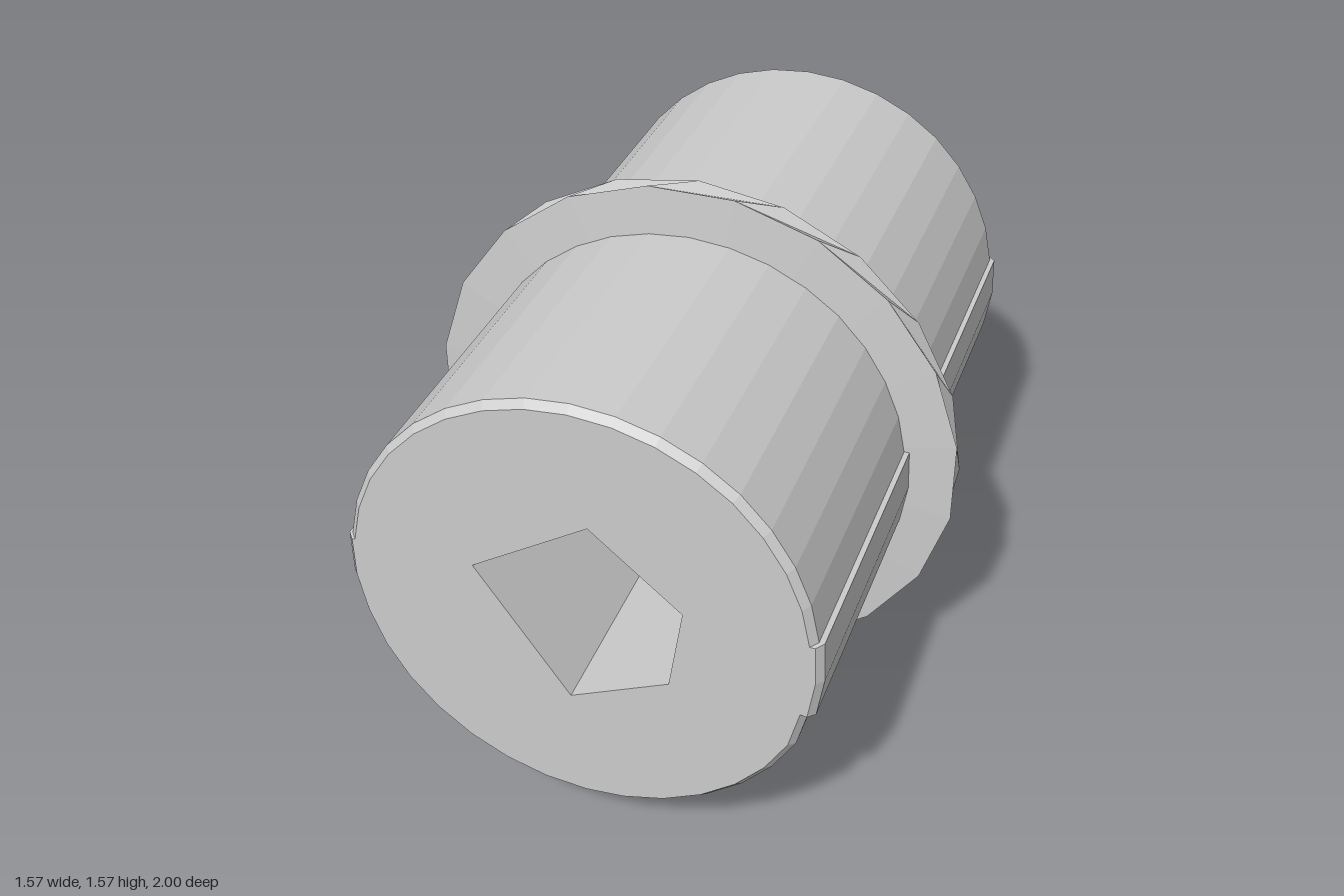
import * as THREE from 'three';

const CY = 0.79; // height of the shaft axis
const material = new THREE.MeshStandardMaterial({ color: 0xcccccc, flatShading: true });

const polar = (deg, r) => {
  const a = THREE.MathUtils.degToRad(deg);
  return new THREE.Vector2(r * Math.cos(a), r * Math.sin(a));
};
const scaled = (points, s) => points.map((p) => p.clone().multiplyScalar(s));

// Skin between rings [points, z]; counter-clockwise rings with rising z face outward
function loft(rings) {
  const n = rings[0][0].length;
  const pos = [], index = [];
  for (const [points, z] of rings) for (const p of points) pos.push(p.x, p.y, z);
  for (let k = 0; k < rings.length - 1; k++) {
    for (let i = 0; i < n; i++) {
      const a = k * n + i, b = k * n + ((i + 1) % n);
      index.push(a, b, b + n, a, b + n, a + n);
    }
  }
  const g = new THREE.BufferGeometry();
  g.setAttribute('position', new THREE.Float32BufferAttribute(pos, 3));
  g.setIndex(index);
  g.computeVertexNormals();
  return g;
}

// Flat face at z, with an optional hole, facing +z or -z
function face(outline, hole, z, back) {
  const shape = new THREE.Shape(outline);
  if (hole) shape.holes.push(new THREE.Path(hole));
  const g = new THREE.ShapeGeometry(shape);
  if (back) g.index.array.reverse();
  g.translate(0, 0, z);
  g.computeVertexNormals();
  return g;
}

// Shaft section: round, with a slightly raised key on +x and a small step on -x
function shaftOutline() {
  const pts = [];
  const arc = (from, to, r0, r1, steps) => {
    for (let i = 0; i <= steps; i++) {
      const t = i / steps;
      pts.push(polar(from + (to - from) * t, r0 + (r1 - r0) * Math.min(1, t * 4)));
    }
  };
  arc(-14, 7.4, 0.662, 0.662, 2);
  arc(7.6, 172.4, 0.647, 0.656, 16);
  arc(172.6, 270, 0.665, 0.655, 9);
  arc(280, 345.8, 0.655, 0.655, 6);
  pts[pts.length - 1] = polar(345.8, 0.643);
  return pts;
}

export function createModel() {
  const group = new THREE.Group();
  const add = (name, geometry) => {
    const mesh = new THREE.Mesh(geometry, material);
    mesh.name = name;
    mesh.position.y = CY;
    group.add(mesh);
  };

  // Shaft with narrow chamfers at both ends
  const outline = shaftOutline();
  const end = scaled(outline, 0.972);
  add('shaft', loft([[end, -1], [outline, -0.978], [outline, 0.978], [end, 1]]));

  // Five-sided sockets, tapering inward to a floor
  const socket = [[0.04, 0.3], [-0.29, 0.09], [-0.03, -0.29], [0.25, -0.16], [0.29, 0.09]]
    .map(([x, y]) => new THREE.Vector2(x, y));
  const floor = scaled(socket, 0.93);
  add('frontFace', face(end, socket, 1, false));
  add('backFace', face(end, socket, -1, true));
  add('frontSocketWall', loft([[socket, 1], [floor, 0.14]]));
  add('backSocketWall', loft([[floor, 0.04], [socket, -1]]));
  add('frontSocketFloor', face(floor, null, 0.14, false));
  add('backSocketFloor', face(floor, null, 0.04, true));

  // Faceted flange, its two rims staggered by half a side
  const ring = (r, offset) => Array.from({ length: 20 }, (_, i) => polar(i * 18 + offset, r));
  add('flange', loft([
    [ring(0.64, 0), 0.045], [ring(0.787, 0), 0.055],
    [ring(0.797, 9), 0.13], [ring(0.64, 9), 0.143],
  ]));
  return group;
}
